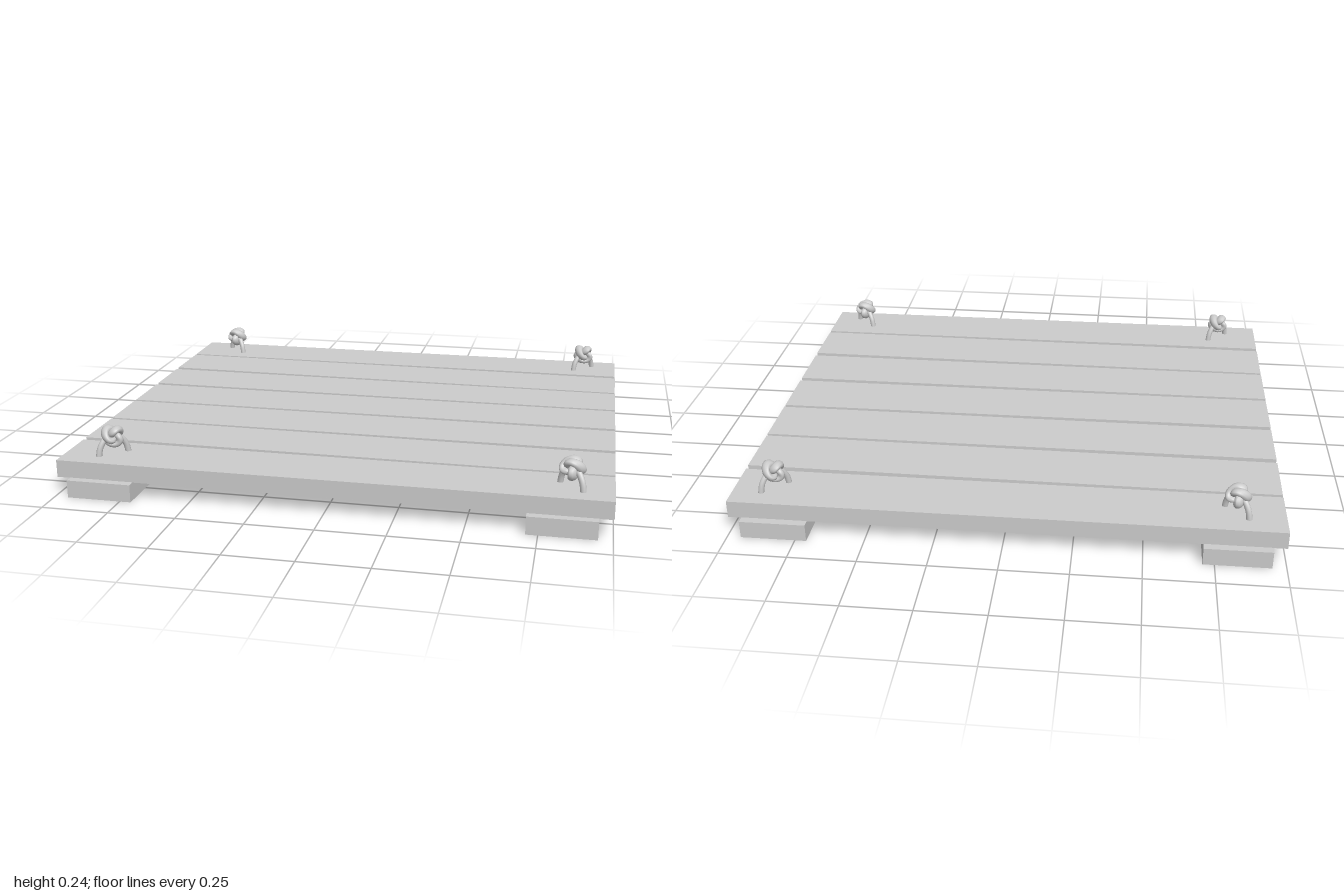
import * as THREE from 'three';

const material = new THREE.MeshStandardMaterial({ color: 0xcccccc });

function addMesh(parent, name, geometry, x = 0, y = 0, z = 0) {
  const mesh = new THREE.Mesh(geometry, material);
  mesh.name = name;
  mesh.position.set(x, y, z);
  parent.add(mesh);
  return mesh;
}

// A rope arch through the deck with an overhand knot at its top
function createRopeLoop() {
  const loop = new THREE.Group();
  loop.name = 'ropeLoop';
  const path = new THREE.CatmullRomCurve3([
    [-0.06, 0.08], [-0.057, 0.13], [-0.048, 0.165], [-0.026, 0.193], [0, 0.2],
    [0.026, 0.193], [0.048, 0.165], [0.057, 0.13], [0.06, 0.08],
  ].map(([x, y]) => new THREE.Vector3(x, y, 0)));
  addMesh(loop, 'ropeArch', new THREE.TubeGeometry(path, 40, 0.011, 10));
  const knot = addMesh(loop, 'ropeKnot', new THREE.TorusKnotGeometry(0.022, 0.0125, 96, 10, 2, 3), 0, 0.2, 0);
  knot.scale.z = 1.65;
  knot.rotation.z = Math.PI / 6;
  return loop;
}

export function createModel() {
  const model = new THREE.Group();
  model.name = 'woodenPallet';

  // Deck planks, alternate ones laid slightly askew
  const tilts = [0, -0.006, 0, 0.004, 0, -0.006, 0];
  tilts.forEach((tilt, i) => {
    const plank = addMesh(model, 'plank', new THREE.BoxGeometry(2, 0.065, 0.23), 0, 0.0975, (i - 3) * 0.25);
    plank.rotation.y = tilt;
  });

  // Two runners under the deck
  for (const side of [-1, 1]) {
    addMesh(model, 'runner', new THREE.BoxGeometry(0.242, 0.066, 1.79), side * 0.829, 0.033, 0);
  }

  // Rope loops set diagonally at the corners
  for (const [x, z] of [[-0.826, -0.75], [0.852, -0.75], [-0.823, 0.755], [0.852, 0.755]]) {
    const loop = createRopeLoop();
    loop.position.set(x, 0, z);
    loop.rotation.y = -Math.sign(x * z) * Math.PI / 4;
    model.add(loop);
  }
  return model;
}
